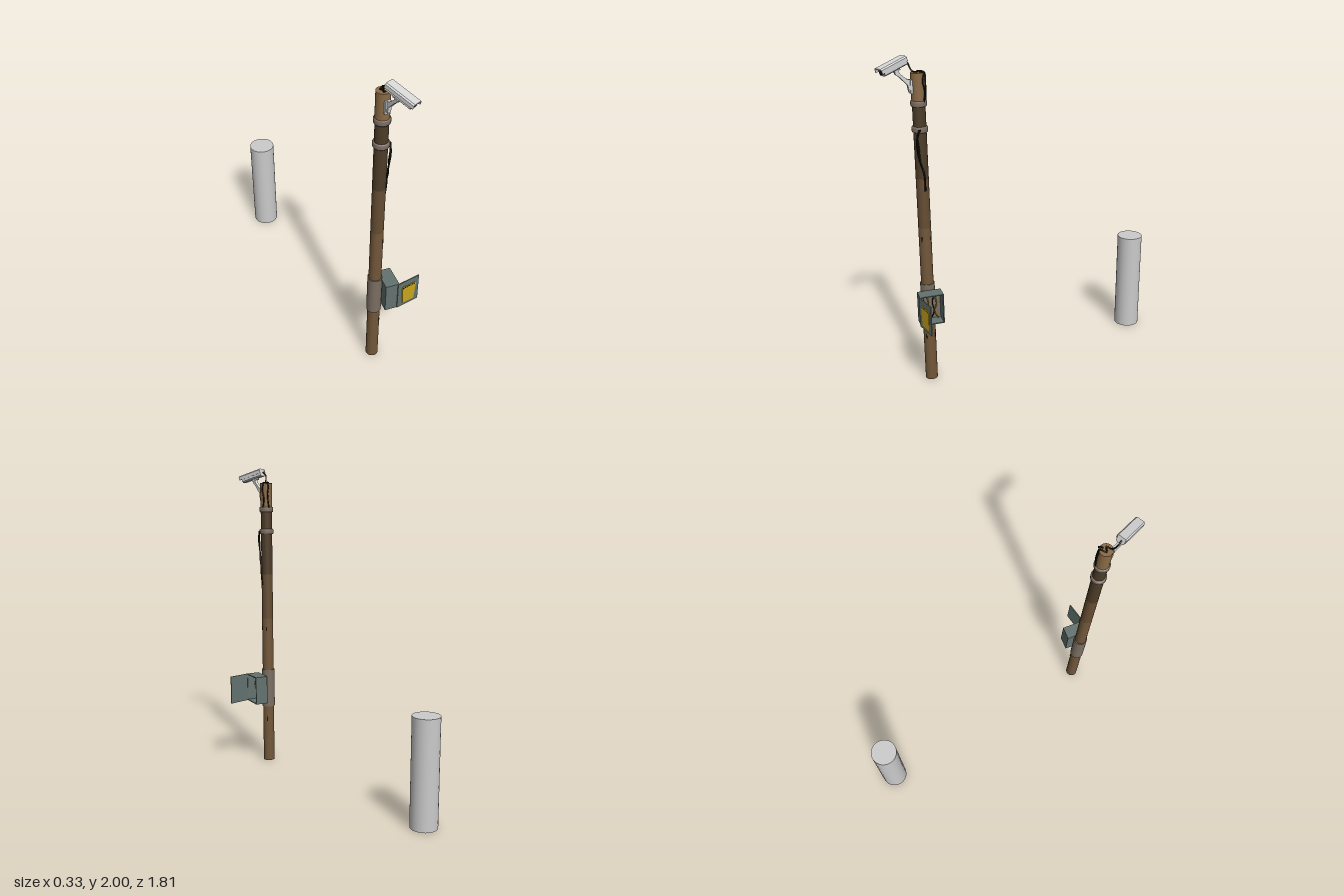
import * as THREE from 'three';

const mat = (name, color, side = THREE.FrontSide) => {
  const m = new THREE.MeshStandardMaterial({ color, side });
  m.name = name;
  return m;
};
const M = {
  lightWood: mat('light wood', 0x8a6a45),
  wood: mat('brown wood', 0x725739),
  midWood: mat('middle wood', 0x654d33),
  darkWood: mat('dark wood', 0x4d3c28),
  collar: mat('collar grey brown', 0x7b6e62),
  concrete: mat('light grey', 0xcbcbcb),
  white: mat('camera white', 0xd6d6d6),
  boxGrey: mat('cabinet grey green', 0x63736f),
  yellow: mat('label yellow', 0xc9a51c),
  black: mat('black', 0x15130f)
};
const PX = -0.086, PZ = 0.667; // pole axis

function add(parent, name, geo, material, x = 0, y = 0, z = 0) {
  const m = new THREE.Mesh(geo, material);
  m.name = name;
  m.position.set(x, y, z);
  parent.add(m);
  return m;
}
const box = (w, h, d) => new THREE.BoxGeometry(w, h, d);

// vertical cylinder between two heights
function post(parent, name, r, y0, y1, material, x = PX, z = PZ) {
  return add(parent, name, new THREE.CylinderGeometry(r, r, y1 - y0, 28), material, x, (y0 + y1) / 2, z);
}
function cable(parent, name, points, r, material = M.black) {
  const curve = new THREE.CatmullRomCurve3(points.map(p => new THREE.Vector3(...p)));
  return add(parent, name, new THREE.TubeGeometry(curve, 40, r, 6), material);
}
function extrude(points, depth) {
  const s = new THREE.Shape(points.map(p => new THREE.Vector2(...p)));
  const g = new THREE.ExtrudeGeometry(s, { depth, bevelEnabled: false });
  return g.translate(0, 0, -depth / 2);
}

function buildPole() {
  const g = new THREE.Group();
  g.name = 'pole';
  post(g, 'poleBase', 0.037, 0, 0.39, M.wood);
  post(g, 'poleLower', 0.037, 0.39, 1.0, M.wood);
  post(g, 'poleMiddle', 0.037, 1.0, 1.3, M.midWood);
  post(g, 'poleUpper', 0.037, 1.3, 1.73, M.darkWood);
  post(g, 'poleTop', 0.039, 1.73, 1.9, M.lightWood);
  post(g, 'poleFoot', 0.03, -0.001, 0.002, M.concrete);
  post(g, 'collar', 0.043, 0.388, 0.645, M.collar);
  // clamp rings with rounded edges
  for (const y of [1.585, 1.73]) {
    const profile = [[0.036, -0.017], [0.043, -0.016], [0.046, -0.01], [0.046, 0.01], [0.043, 0.016], [0.036, 0.017]];
    add(g, 'clampRing', new THREE.LatheGeometry(profile.map(p => new THREE.Vector2(...p)), 28), M.collar, PX, y, PZ);
  }
  // small dark marks in the wood
  for (const y of [0.3, 0.93]) {
    for (const a of [0.65, 2.3]) {
      const m = add(g, 'woodMark', box(0.006, 0.03, 0.004), M.black,
        PX + Math.sin(a) * 0.037, y, PZ + Math.cos(a) * 0.037);
      m.rotation.y = a;
    }
  }
  return g;
}

function buildCabinet() {
  const g = new THREE.Group();
  g.name = 'cabinet';
  const body = new THREE.Group();
  body.name = 'cabinetBody';
  body.position.set(-0.005, 0.517, 0.684);
  body.rotation.y = -0.172;
  g.add(body);
  const W = 0.083, H = 0.187, D = 0.142, t = 0.006;
  add(body, 'cabinetBack', box(t, H, D), M.boxGrey, -W / 2 + t / 2);
  add(body, 'innerPlate', box(0.004, H - 0.02, D - 0.02), M.collar, -W / 2 + t + 0.002);
  for (const s of [-1, 1]) {
    add(body, 'cabinetCover', box(W, t, D), M.boxGrey, 0, s * (H - t) / 2, 0);
    add(body, 'cabinetSide', box(W, H - 2 * t, t), M.boxGrey, 0, 0, s * (D - t) / 2);
  }
  // wiring inside
  [[0.045, M.yellow], [0.012, M.yellow], [-0.012, M.black], [-0.035, M.yellow]].forEach(([z, m], i) => {
    const k = i % 2 ? 0.012 : -0.01;
    cable(body, 'innerWire', [[-0.02, -0.085, z - k], [-0.012, -0.03, z + k], [-0.005, 0.02, z], [-0.02, 0.085, z + k]], 0.0035, m);
  });

  // open door with its label
  const door = new THREE.Group();
  door.name = 'cabinetDoor';
  door.position.set(0.089, 0.517, 0.757);
  door.rotation.y = 0.06;
  g.add(door);
  add(door, 'doorPanel', box(0.15, H, 0.006), M.boxGrey);
  const label = [[-0.037, -0.073], [0.043, -0.073], [0.054, 0.045], [0.05, 0.055], [-0.04, 0.055], [-0.046, 0.04]];
  add(door, 'doorLabel', extrude(label, 0.003), M.yellow, 0, 0, 0.004);
  for (let i = 0; i < 7; i++) {
    add(door, 'labelMark', box(0.009, 0.008, 0.002), M.black, -0.035 + i * 0.013, 0.045 + (i % 2) * 0.003, 0.005);
  }
  return g;
}

function buildCamera() {
  const g = new THREE.Group();
  g.name = 'camera';
  const head = new THREE.Group();
  head.name = 'cameraHead';
  head.position.set(-0.08, 1.945, 0.805);
  head.rotation.set(0.28, 0.32, 0, 'YXZ');
  g.add(head);
  // chamfered housing and overhanging hood
  const a = 0.025, b = 0.022, c = 0.008;
  add(head, 'housing', extrude([[-a + c, -b], [a - c, -b], [a, -b + c], [a, b], [-a, b], [-a, -b + c]], 0.16), M.white);
  const hood = [[-0.03, 0], [-0.027, 0], [-0.027, 0.02], [0.027, 0.02], [0.027, 0], [0.03, 0],
    [0.03, 0.021], [0.023, 0.028], [-0.023, 0.028], [-0.03, 0.021]];
  add(head, 'hood', extrude(hood, 0.18), M.white, 0, 0, 0.008);
  // lens
  add(head, 'frontPanel', box(0.042, 0.03, 0.003), M.collar, 0, 0.002, 0.081);
  const lens = add(head, 'lens', new THREE.CylinderGeometry(0.011, 0.012, 0.008, 20), M.black, 0.004, 0, 0.085);
  lens.rotation.x = Math.PI / 2;
  add(head, 'mountBlock', box(0.026, 0.012, 0.04), M.white, 0, -0.026, -0.012);

  // wall bracket: swept arm and mounting plate
  const arm = [[0.705, 1.795], [0.722, 1.8], [0.728, 1.835], [0.772, 1.882], [0.796, 1.9], [0.8, 1.925],
    [0.78, 1.925], [0.772, 1.905], [0.735, 1.872], [0.705, 1.862]];
  const armMesh = add(g, 'bracketArm', extrude(arm, 0.02), M.white, PX + 0.002);
  armMesh.rotation.y = -Math.PI / 2;
  add(g, 'bracketPlate', box(0.032, 0.075, 0.014), M.white, PX, 1.826, 0.708);
  return g;
}

export function createModel() {
  const model = new THREE.Group();
  model.name = 'cameraPoleAndBollard';
  model.add(buildPole(), buildCabinet(), buildCamera());
  post(model, 'bollard', 0.081, 0, 0.651, M.concrete, -0.087, -0.82);

  // camera lead over the pole top and down the back
  cable(model, 'cameraLead', [[-0.108, 1.972, 0.735], [-0.115, 1.955, 0.712], [-0.1, 1.908, 0.692], [-0.07, 1.905, 0.675],
    [-0.1, 1.905, 0.66], [-0.068, 1.904, 0.638], [-0.075, 1.89, 0.627], [-0.07, 1.83, 0.628], [-0.078, 1.74, 0.626]], 0.0045);
  cable(model, 'sideLead', [[-0.07, 1.905, 0.66], [-0.05, 1.9, 0.645], [-0.046, 1.86, 0.654], [-0.05, 1.8, 0.643], [-0.047, 1.74, 0.65]], 0.004);
  // loose cable hanging from the lower ring
  cable(model, 'hangingCable', [[-0.042, 1.59, 0.688], [-0.047, 1.53, 0.703], [-0.053, 1.45, 0.698], [-0.05, 1.38, 0.682],
    [-0.042, 1.34, 0.672], [-0.042, 1.28, 0.668], [-0.048, 1.23, 0.667]], 0.005);
  cable(model, 'hangingLoop', [[-0.04, 1.59, 0.68], [-0.048, 1.56, 0.698], [-0.05, 1.48, 0.692], [-0.046, 1.4, 0.688], [-0.044, 1.33, 0.67]], 0.004);
  return model;
}
